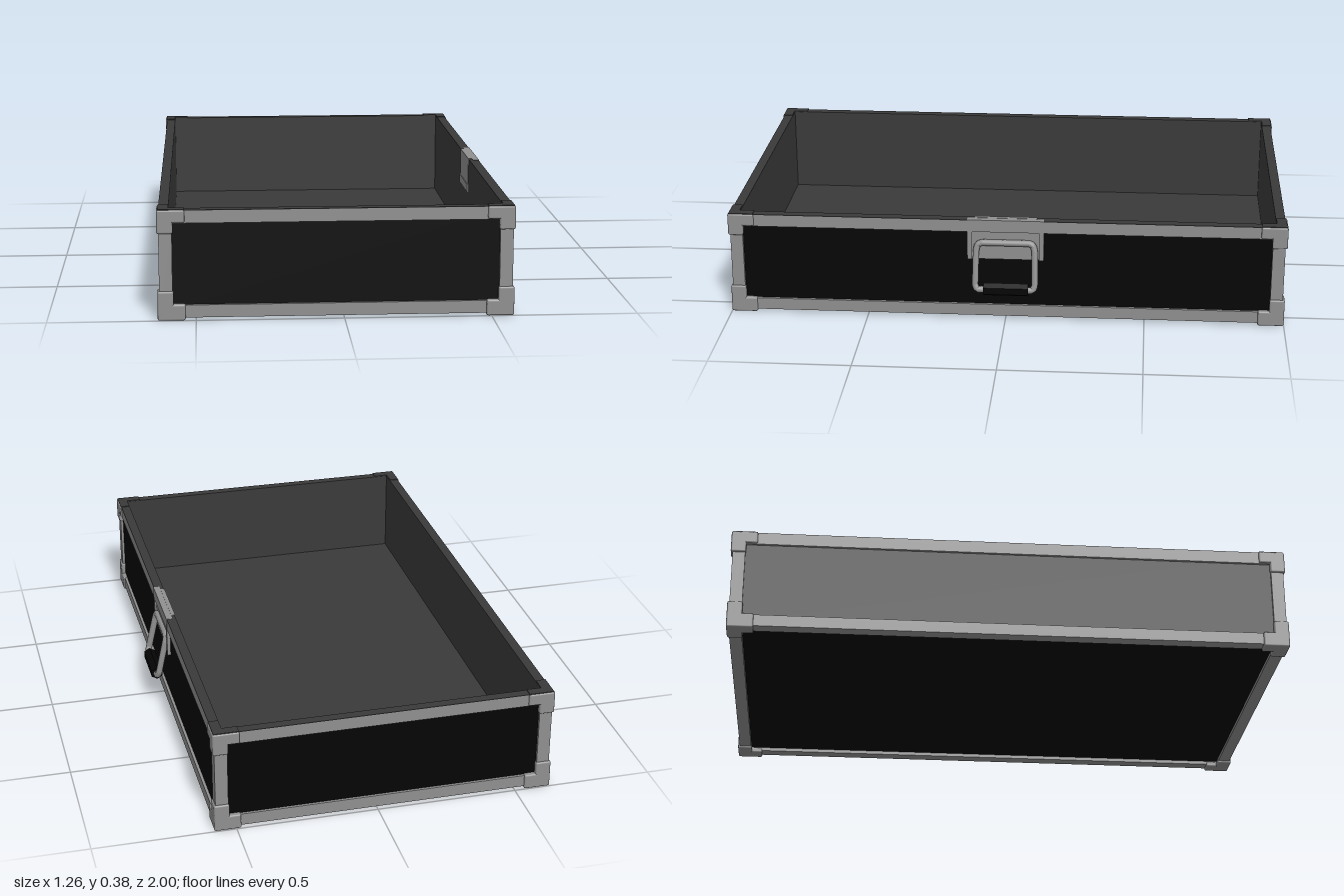
import * as THREE from 'three';
import { RoundedBoxGeometry } from 'three/addons/geometries/RoundedBoxGeometry.js';

const mat = (name, color) => {
  const m = new THREE.MeshStandardMaterial({ color });
  m.name = name;
  return m;
};

export function createModel() {
  const metal = mat('grey metal', 0x909090);
  const black = mat('black panel', 0x040404);
  const lining = mat('dark lining', 0x3a3a3a);
  const root = new THREE.Group();
  root.name = 'openCase';

  // box between two opposite corners, optionally with rounded edges
  const box = (name, m, a, b, parent = root, radius = 0) => {
    const size = a.map((v, i) => Math.abs(b[i] - v));
    const g = radius ? new RoundedBoxGeometry(...size, 2, radius) : new THREE.BoxGeometry(...size);
    g.translate(...a.map((v, i) => (v + b[i]) / 2));
    const mesh = new THREE.Mesh(g, m);
    mesh.name = name;
    parent.add(mesh);
  };

  // flat rectangular ring in the XY plane, extruded along +z
  const rect = (w, h) => [[-w, -h], [w, -h], [w, h], [-w, h]].map(p => new THREE.Vector2(p[0] / 2, p[1] / 2));
  const ring = (name, m, w, h, bw, bh, depth) => {
    const s = new THREE.Shape(rect(w, h));
    s.holes.push(new THREE.Path(rect(w - 2 * bw, h - 2 * bh).reverse()));
    const mesh = new THREE.Mesh(new THREE.ExtrudeGeometry(s, { depth, bevelEnabled: false }), m);
    mesh.name = name;
    root.add(mesh);
    return mesh;
  };

  const cx = -0.026, hx = 0.597, hz = 0.993, wall = 0.034;
  const y0 = 0.009, y1 = 0.376, ym = (y0 + y1) / 2;

  for (const s of [-1, 1]) {
    // walls: black outside, lined inside
    box('sidePanel', black, [cx + s * (hx - 0.022), 0.024, -hz + 0.012], [cx + s * (hx - 0.01), y1, hz - 0.012]);
    box('sideLining', lining, [cx + s * (hx - wall), 0.024, -hz + 0.022], [cx + s * (hx - 0.022), y1, hz - 0.022]);
    box('endPanel', black, [cx - hx + 0.012, 0.024, s * (hz - 0.022)], [cx + hx - 0.012, y1, s * (hz - 0.01)]);
    box('endLining', lining, [cx - hx + 0.022, 0.024, s * (hz - wall)], [cx + hx - 0.022, y1, s * (hz - 0.022)]);

    // metal edging around each wall
    const end = ring('endEdging', metal, 2 * hx, y1 - y0, 0.045, 0.043, 0.014);
    end.position.set(cx, ym, s > 0 ? hz - 0.014 : -hz);
    const side = ring('sideEdging', metal, 2 * hz, y1 - y0, 0.045, 0.043, 0.014);
    side.rotation.y = Math.PI / 2;
    side.position.set(s > 0 ? cx + hx - 0.014 : cx - hx, ym, 0);
  }

  // thick floor: black below, lined above
  box('floorPanel', black, [cx - hx + 0.012, 0.022, -hz + 0.012], [cx + hx - 0.012, 0.036, hz - 0.012]);
  box('floorLining', lining, [cx - hx + 0.022, 0.036, -hz + 0.022], [cx + hx - 0.022, 0.056, hz - 0.022]);
  const under = ring('bottomEdging', metal, 2 * hx, 2 * hz, 0.045, 0.045, 0.015);
  under.rotation.x = -Math.PI / 2;
  under.position.set(cx, y0, 0);

  // dark upper rim
  const rim = ring('rim', lining, 2 * hx, 2 * hz, wall, wall, 0.002);
  rim.rotation.x = -Math.PI / 2;
  rim.position.set(cx, y1, 0);

  // three-armed corner protectors
  for (const sx of [-1, 1]) for (const sz of [-1, 1]) for (const top of [0, 1]) {
    const g = new THREE.Group();
    g.name = top ? 'upperCorner' : 'lowerCorner';
    root.add(g);
    const Y = h => (top ? 0.379 - h : h);
    const X = d => cx + sx * (hx + 0.006 - d), Z = d => sz * (1 - d);
    const th = 0.039, hh = top ? 0.044 : 0.055, vh = top ? 0.081 : 0.1;
    const arm = (name, x, h, z) => box(name, metal, [X(0), Y(0), Z(0)], [X(x), Y(h), Z(z)], g, 0.006);
    arm('armAcross', 0.094, hh, th);
    arm('armAlong', th, hh, 0.094);
    arm('armUprightEnd', 0.054, vh, th);
    arm('armUprightSide', th, vh, 0.054);
    if (top) {
      box('capAcross', lining, [X(0.004), 0.377, Z(0.004)], [X(0.092), 0.381, Z(th)], g);
      box('capAlong', lining, [X(0.004), 0.377, Z(th)], [X(th), 0.381, Z(0.092)], g);
    } else {
      arm('footAlong', 0.054, 0.02, 0.094);
      arm('footAcross', 0.094, 0.02, 0.054);
    }
  }

  // handle plate let into the wall, with a smaller face on the inside
  const handle = new THREE.Group();
  handle.name = 'handle';
  root.add(handle);
  box('plate', metal, [0.55, 0.228, -0.137], [0.566, 0.379, 0.137], handle);
  box('innerPlate', metal, [0.535, 0.25, -0.112], [0.55, 0.38, 0.112], handle);
  box('innerLedge', metal, [0.532, 0.25, -0.112], [0.535, 0.28, 0.112], handle);
  box('plateHead', metal, [0.566, 0.335, -0.12], [0.573, 0.379, 0.12], handle);
  for (const s of [-1, 1])
    box('plateFlange', metal, [0.566, 0.228, s * 0.12], [0.573, 0.379, s * 0.137], handle);

  // swinging bail, hanging outward
  const half = [
    [0.609, 0.127, 0.07], [0.609, 0.127, 0.1], [0.604, 0.142, 0.107], [0.576, 0.265, 0.105],
    [0.571, 0.286, 0.1], [0.57, 0.293, 0.085],
  ];
  const loop = [...half, ...half.map(([x, y, z]) => [x, y, -z]).reverse()].map(p => new THREE.Vector3(...p));
  const path = new THREE.CurvePath();
  for (let i = 0; i + 1 < loop.length; i++) path.add(new THREE.LineCurve3(loop[i], loop[i + 1]));
  const bail = new THREE.Mesh(new THREE.TubeGeometry(path, 90, 0.012, 8, false), metal);
  bail.name = 'bail';
  handle.add(bail);

  // six-sided grip
  const gripShape = new THREE.CylinderGeometry(0.024, 0.024, 0.16, 6).toNonIndexed();
  gripShape.computeVertexNormals();
  gripShape.rotateX(Math.PI / 2);
  const grip = new THREE.Mesh(gripShape, black);
  grip.name = 'grip';
  grip.position.set(0.607, 0.128, -0.004);
  handle.add(grip);

  return root;
}
